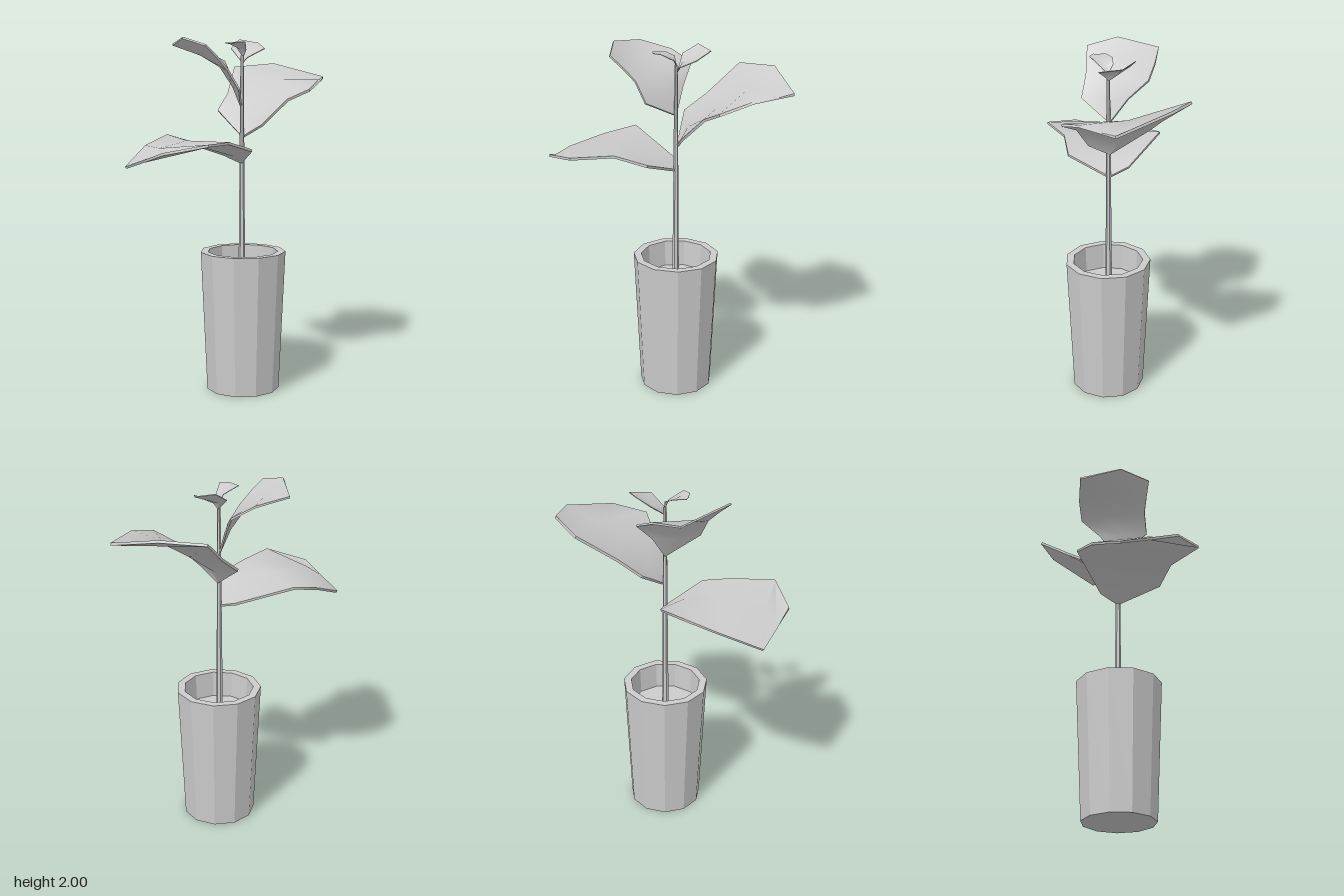
import * as THREE from 'three';
import { toCreasedNormals } from 'three/addons/utils/BufferGeometryUtils.js';

const grey = new THREE.MeshStandardMaterial({ color: 0xcccccc });
const flat = new THREE.MeshStandardMaterial({ color: 0xcccccc, flatShading: true, side: THREE.DoubleSide });
const CX = 0.042, CZ = 0.018;
const vec = p => new THREE.Vector3(...p);

// Rows of [left edge, midrib, right edge]; the midrib bulges and sinks towards the tip
function leafRows(base, tip, edges) {
  const out = tip.clone().sub(base).setY(0);
  const rows = edges.map(([left, right], i) => {
    const t = (i + 1) / edges.length;
    const mid = vec(left).lerp(vec(right), 0.5).addScaledVector(out, 0.2 * t);
    mid.y -= 0.015 * out.length();
    return [vec(left), t === 1 ? tip : mid, vec(right)];
  });
  return [[base, base, base], ...rows];
}

// Thin closed leaf: upper surface, underside and rim
function leafGeometry(base, tip, edges) {
  const grid = leafRows(base, tip, edges);
  const last = grid.length - 1;
  const thickness = 0.02 * base.distanceTo(tip);
  const under = grid.map((row, i) => row.map((p, j) => {
    const along = grid[Math.min(i + 1, last)][j].clone().sub(grid[Math.max(i - 1, 0)][j]);
    const span = grid[Math.max(i, 1)];
    const across = span[Math.min(j + 1, 2)].clone().sub(span[Math.max(j - 1, 0)]);
    return p.clone().addScaledVector(across.cross(along).normalize(), -thickness);
  }));
  const pos = [];
  const tri = (a, b, c) => {
    const area = b.clone().sub(a).cross(c.clone().sub(a)).length();
    if (area > 1e-7) for (const p of [a, b, c]) pos.push(p.x, p.y, p.z);
  };
  const quad = (a, b, c, d) => { tri(a, b, c); tri(a, c, d); };
  for (let i = 0; i < last; i++) {
    for (let j = 0; j < 2; j++) {
      quad(grid[i][j], grid[i][j + 1], grid[i + 1][j + 1], grid[i + 1][j]);
      quad(under[i][j], under[i + 1][j], under[i + 1][j + 1], under[i][j + 1]);
    }
    quad(grid[i][0], grid[i + 1][0], under[i + 1][0], under[i][0]);
    quad(grid[i + 1][2], grid[i][2], under[i][2], under[i + 1][2]);
  }
  for (let j = 0; j < 2; j++) quad(grid[last][j], grid[last][j + 1], under[last][j + 1], under[last][j]);
  const g = new THREE.BufferGeometry();
  g.setAttribute('position', new THREE.Float32BufferAttribute(pos, 3));
  return toCreasedNormals(g, 0.9);
}

export function createModel() {
  const model = new THREE.Group();
  model.name = 'pottedPlant';
  const add = (name, geometry, material) => {
    const mesh = new THREE.Mesh(geometry, material);
    mesh.name = name;
    model.add(mesh);
    return mesh;
  };
  const addLeaf = (name, base, tip, ...edges) => add(name, leafGeometry(vec(base), vec(tip), edges), grey);

  // Tapered eleven-sided pot with a rim and hollow top
  const profile = [[0, 0], [0.208, 0], [0.243, 0.8], [0.2, 0.8], [0.193, 0.65]]
    .map(([r, y]) => new THREE.Vector2(r, y));
  add('pot', new THREE.LatheGeometry(profile, 11, Math.PI / 2), flat).position.set(CX, 0, CZ);

  // Soil
  const soil = new THREE.CircleGeometry(0.194, 11).rotateX(-Math.PI / 2);
  add('soil', soil, flat).position.set(CX, 0.65, CZ);

  // Slender stem
  const stem = new THREE.CylinderGeometry(0.009, 0.019, 1.25, 6);
  add('stem', stem, flat).position.set(0.038, 1.275, 0.014);

  // Leaves: base, tip, then pairs of left and right edge points
  addLeaf('lowerRightLeaf', [0.04, 1.31, 0.01], [-0.63, 1.36, 0.15],
    [[-0.03, 1.4, 0.25], [-0.02, 1.35, -0.09]],
    [[-0.2, 1.45, 0.305], [-0.31, 1.46, -0.23]],
    [[-0.395, 1.455, 0.44], [-0.48, 1.41, -0.155]],
    [[-0.59, 1.41, 0.305], [-0.665, 1.315, -0.005]]);
  addLeaf('middleLeftLeaf', [0.04, 1.45, 0.01], [0.66, 1.775, -0.115],
    [[0, 1.59, -0.205], [0.105, 1.52, 0.115]],
    [[0.105, 1.68, -0.28], [0.25, 1.66, 0.15]],
    [[0.24, 1.83, -0.445], [0.355, 1.715, 0.21]],
    [[0.47, 1.85, -0.37], [0.5, 1.765, 0.09]]);
  addLeaf('upperRightLeaf', [0.04, 1.62, 0.01], [-0.325, 2, 0.015],
    [[-0.065, 1.72, 0.18], [0.04, 1.76, -0.09]],
    [[-0.13, 1.83, 0.165], [0.045, 1.87, -0.2]],
    [[-0.2, 1.9, 0.172], [-0.085, 1.93, -0.22]],
    [[-0.27, 1.96, 0.18], [-0.275, 1.965, -0.22]]);
  addLeaf('topLeftLeaf', [0.042, 1.86, 0.012], [0.2, 1.97, -0.085],
    [[0.03, 1.94, -0.1], [0.06, 1.89, 0.035]],
    [[0.105, 1.99, -0.14], [0.165, 1.94, 0.045]]);
  addLeaf('topFrontLeaf', [0.045, 1.89, 0.015], [-0.07, 1.97, 0.08],
    [[0.045, 1.93, 0.05], [0.02, 1.945, -0.01]],
    [[0, 1.975, 0.12], [-0.03, 1.965, 0]],
    [[-0.05, 1.975, 0.11], [-0.085, 1.97, 0.045]]);
  return model;
}
